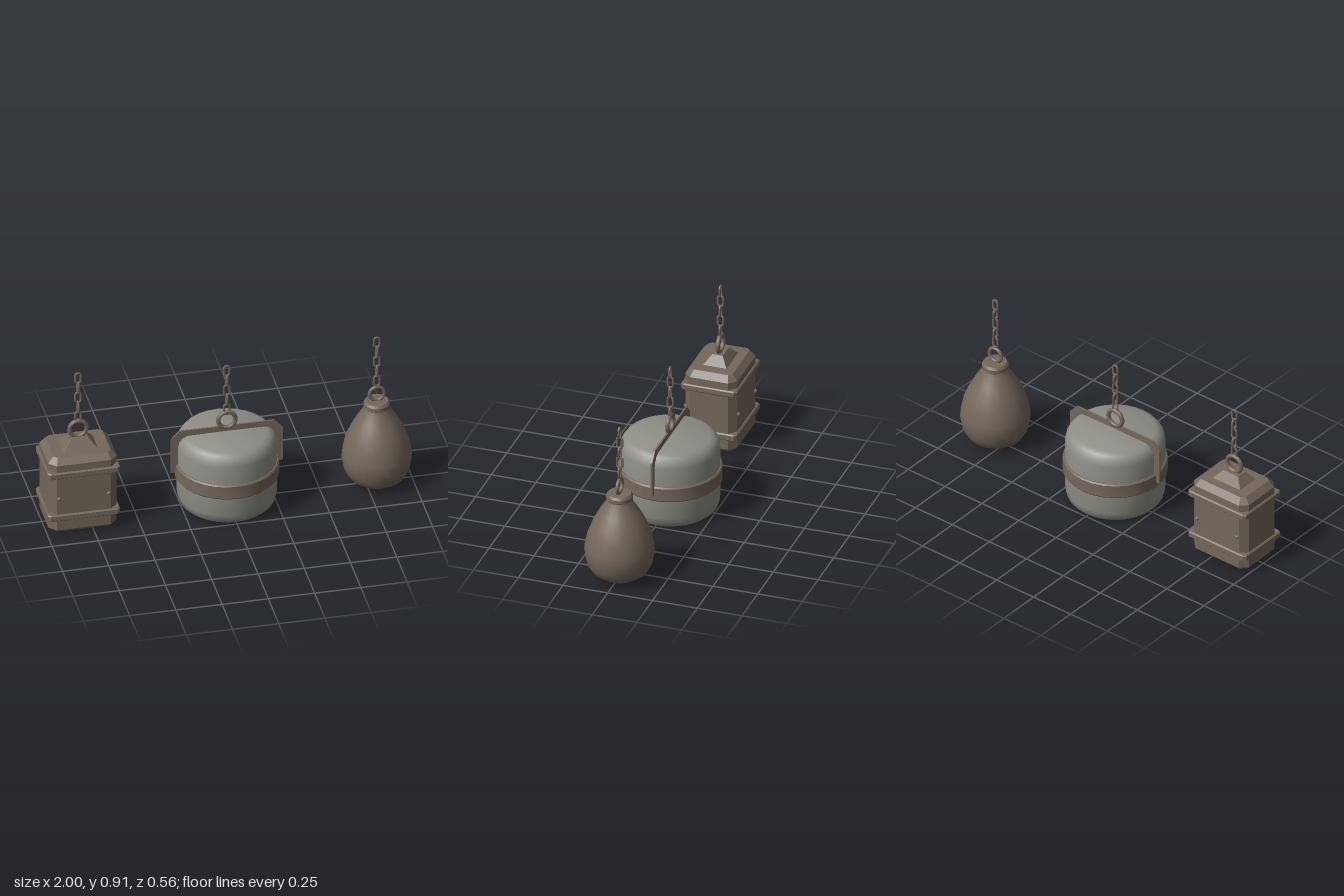
import * as THREE from 'three';
import { toCreasedNormals } from 'three/addons/utils/BufferGeometryUtils.js';

const iron = new THREE.MeshStandardMaterial({ color: 0x75685d });
iron.name = 'brown iron';
const stone = new THREE.MeshStandardMaterial({ color: 0x8f8f88 });
stone.name = 'grey stone';

function part(parent, name, geometry, material, x = 0, y = 0, z = 0) {
  const mesh = new THREE.Mesh(geometry, material);
  mesh.name = name;
  mesh.position.set(x, y, z);
  parent.add(mesh);
  return mesh;
}

// Flat-faced solid from cut-corner rectangles: each level is [y, halfX, halfZ, cornerCut]
function loft(levels) {
  const pos = [], index = [];
  for (const [y, w, d, c] of levels) {
    const ring = [
      [w, d - c], [w, c - d], [w - c, -d], [c - w, -d],
      [-w, c - d], [-w, d - c], [c - w, d], [w - c, d],
    ];
    for (const [x, z] of ring) pos.push(x, y, z);
  }
  const n = 8, last = (levels.length - 1) * n;
  for (let l = 0; l < last; l += n) {
    for (let i = 0; i < n; i++) {
      const a = l + i, b = l + (i + 1) % n;
      index.push(a, b, b + n, a, b + n, a + n);
    }
  }
  for (let i = 1; i < n - 1; i++) {
    index.push(0, i + 1, i, last, last + i, last + i + 1);
  }
  const indexed = new THREE.BufferGeometry();
  indexed.setAttribute('position', new THREE.Float32BufferAttribute(pos, 3));
  indexed.setIndex(index);
  const flat = indexed.toNonIndexed();
  flat.computeVertexNormals();
  return flat;
}

// Turned shape with crisp rims, profile from bottom to top as [radius, y]
function turned(profile, sides, crease = 0.6) {
  const points = profile.map(([r, y]) => new THREE.Vector2(r, y));
  return toCreasedNormals(new THREE.LatheGeometry(points, sides), crease);
}

// Oval chain link: a torus pulled apart along y
function linkGeometry() {
  const g = new THREE.TorusGeometry(0.0155, 0.0065, 6, 12).rotateZ(Math.PI / 12);
  const p = g.attributes.position;
  for (let i = 0; i < p.count; i++) p.setY(i, p.getY(i) + Math.sign(p.getY(i)) * 0.015);
  return g;
}

// Ring with five alternating links above it
function hanger(parent, ringY, ringRadius, tube, firstLinkY) {
  const group = new THREE.Group();
  group.name = 'hanger';
  part(group, 'ring', new THREE.TorusGeometry(ringRadius, tube, 8, 20), iron, 0, ringY);
  const link = linkGeometry();
  for (let i = 0; i < 5; i++) {
    const mesh = part(group, 'chainLink', link, iron, 0, firstLinkY + i * 0.06);
    mesh.rotation.y = (i % 2) * Math.PI / 2;
  }
  parent.add(group);
}

function boxWeight() {
  const g = new THREE.Group();
  g.name = 'boxWeight';
  part(g, 'boxBody', loft([
    [0.01, 0.168, 0.128, 0.03], [0.03, 0.185, 0.145, 0.038],
    [0.43, 0.185, 0.145, 0.038], [0.463, 0.155, 0.115, 0.02],
  ]), iron);
  const band = loft([
    [-0.019, 0.19, 0.15, 0.012], [-0.013, 0.196, 0.156, 0.014],
    [0.013, 0.196, 0.156, 0.014], [0.019, 0.19, 0.15, 0.012],
  ]);
  for (const y of [0.108, 0.37]) part(g, 'boxBand', band, iron, 0, y);
  part(g, 'boxCap', loft([[0.46, 0.095, 0.068, 0.001], [0.512, 0.05, 0.03, 0.001]]), iron);
  const rivet = new THREE.SphereGeometry(0.012, 10, 8);
  for (const x of [-0.135, 0.135]) {
    for (const z of [-0.146, 0.146]) part(g, 'rivet', rivet, iron, x, 0.225, z);
  }
  hanger(g, 0.558, 0.047, 0.012, 0.632);
  return g;
}

function drumWeight() {
  const g = new THREE.Group();
  g.name = 'drumWeight';
  part(g, 'drumBody', turned([
    [0, 0.006], [0.235, 0.006], [0.255, 0.025], [0.265, 0.065], [0.267, 0.22],
    [0.265, 0.365], [0.258, 0.395], [0.24, 0.418], [0.215, 0.431], [0, 0.433],
  ], 28), stone);
  part(g, 'drumBand', turned([
    [0.26, 0.173], [0.272, 0.173], [0.278, 0.18], [0.278, 0.252], [0.272, 0.259], [0.26, 0.259],
  ], 28), iron);

  // Thin arched bracket over the drum
  const arch = new THREE.Shape([
    [-0.302, 0.21], [-0.25, 0.21], [-0.25, 0.36], [-0.2, 0.415], [0.2, 0.415], [0.25, 0.36],
    [0.25, 0.21], [0.302, 0.21], [0.302, 0.415], [0.257, 0.464], [-0.257, 0.464], [-0.302, 0.415],
  ].map(([x, y]) => new THREE.Vector2(x, y)));
  part(g, 'bracket', new THREE.ExtrudeGeometry(arch, { depth: 0.01, bevelEnabled: false }),
    iron, 0, 0, -0.005);
  hanger(g, 0.5, 0.047, 0.012, 0.566);
  return g;
}

function pearWeight() {
  const g = new THREE.Group();
  g.name = 'pearWeight';
  part(g, 'pearBody', turned([
    [0, 0.002], [0.05, 0.004], [0.105, 0.018], [0.148, 0.048], [0.175, 0.095], [0.187, 0.165],
    [0.184, 0.2], [0.17, 0.267], [0.143, 0.335], [0.106, 0.403], [0.075, 0.452], [0.066, 0.475],
  ], 22, 0.9), iron);
  part(g, 'pearCollar', turned([
    [0, 0.463], [0.06, 0.463], [0.071, 0.475], [0.071, 0.495], [0.062, 0.508], [0, 0.51],
  ], 22), iron);
  hanger(g, 0.55, 0.04, 0.01, 0.63);
  return g;
}

export function createModel() {
  const model = new THREE.Group();
  model.name = 'hangingWeights';
  const box = boxWeight(), drum = drumWeight(), pear = pearWeight();
  box.position.x = -0.804;
  pear.position.x = 0.811;
  model.add(box, drum, pear);
  return model;
}
